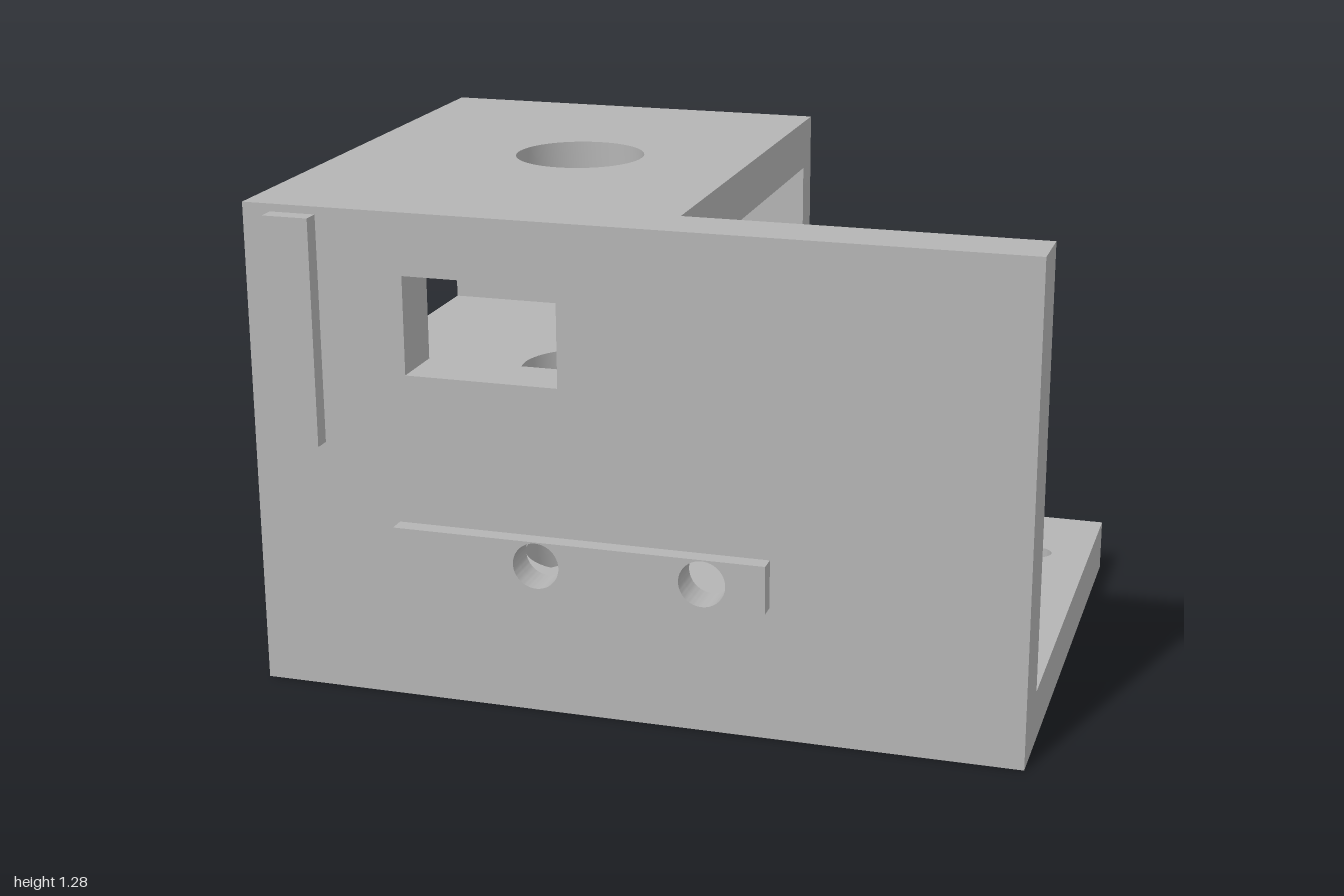
import * as THREE from 'three';
import { toCreasedNormals } from 'three/addons/utils/BufferGeometryUtils.js';

const metal = new THREE.MeshStandardMaterial({ color: 0xb4b4b4 });
metal.name = 'plain grey';

// ---- outline helpers ----
const polygon = (pts) => new THREE.Shape(pts.map(([x, y]) => new THREE.Vector2(x, y)));
const rect = (x0, x1, y0, y1) => polygon([[x0, y0], [x1, y0], [x1, y1], [x0, y1]]);

function circle(x, y, r) {
  return new THREE.Path().absarc(x, y, r, 0, Math.PI * 2, true);
}

// horizontal slot with round ends
function slot(x, y, halfLength, r) {
  const d = halfLength - r;
  const p = new THREE.Path();
  p.absarc(x + d, y, r, -Math.PI / 2, Math.PI / 2, false);
  p.absarc(x - d, y, r, Math.PI / 2, Math.PI * 1.5, false);
  p.closePath();
  return p;
}

function extrude(shape, holes, depth) {
  shape.holes.push(...holes);
  const g = new THREE.ExtrudeGeometry(shape, { depth, bevelEnabled: false, curveSegments: 32 });
  return toCreasedNormals(g, 0.6);
}

function addMesh(group, name, geometry) {
  const mesh = new THREE.Mesh(geometry, metal);
  mesh.name = name;
  group.add(mesh);
}

// plate facing z, outline in x and y
function upright(group, name, shape, holes, z0, z1) {
  addMesh(group, name, extrude(shape, holes, z1 - z0).translate(0, 0, z0));
}

// plate lying flat, outline in x and -z
function flat(group, name, shape, holes, y0, y1) {
  addMesh(group, name, extrude(shape, holes, y1 - y0).rotateX(-Math.PI / 2).translate(0, y0, 0));
}

export function createModel() {
  const model = new THREE.Group();
  model.name = 'mountingBracket';

  const edge = 0.09;              // left side of the box section
  const frontIn = 0.555, front = 0.71, backIn = -0.67, back = -0.755;
  const height = 1.28;
  const boltX = [-0.23, 0.2], boltY = 0.412;

  // front wall: counterbored bolt holes and a window
  const frontWall = new THREE.Group();
  frontWall.name = 'frontWall';
  model.add(frontWall);
  [['frontWallInner', 0.12, frontIn, 0.66], ['frontWallOuter', 0.06, 0.66, front]].forEach(([name, r, z0, z1]) => {
    const holes = boltX.map((x) => circle(x, boltY, r));
    holes.push(rect(-0.58, -0.18, 0.865, 1.12));
    upright(frontWall, name, rect(-1, 1, 0, height), holes, z0, z1);
  });

  // raised bars on the front
  upright(model, 'lowerBar', rect(-0.61, 0.36, 0.35, 0.475), boltX.map((x) => circle(x, boltY, 0.06)), front, 0.755);
  upright(model, 'sideBar', rect(-0.925, -0.805, 0.67, 1.26), [], front, 0.755);

  // back wall: one access hole and a second that nicks the edge
  const a = Math.acos((boltX[1] - edge) / 0.12);
  const backShape = new THREE.Shape();
  backShape.moveTo(-1, 0);
  backShape.lineTo(edge, 0);
  backShape.absarc(boltX[1], boltY, 0.12, Math.PI + a, Math.PI - a, true);
  backShape.lineTo(edge, height);
  backShape.lineTo(-1, height);
  backShape.closePath();
  upright(model, 'backWall', backShape, [circle(boltX[0], boltY, 0.12)], back, backIn);

  // floor, shelf and roof, each with a counterbored shaft hole
  const levels = [['floor', 0, 0.14], ['shelf', 0.54, 0.68], ['roof', 1.145, height]];
  levels.forEach(([name, y0, y1]) => {
    const level = new THREE.Group();
    level.name = name;
    model.add(level);
    const yMid = y0 + 0.03;
    [['Bottom', 0.105, y0, yMid], ['Top', 0.173, yMid, y1]].forEach(([part, r, lo, hi]) => {
      const holes = [circle(-0.38, 0.06, r)];
      let shape = rect(-1, edge, -frontIn, -backIn);
      if (name === 'floor') {
        // the floor reaches out to the left as a motor mount
        shape = polygon([[-1, -frontIn], [1, -frontIn], [1, 0.683], [edge, 0.683], [edge, -backIn], [-1, -backIn]]);
        holes.push(slot(0.485, 0.06, 0.286, 0.245));
        for (const sx of [-1, 1]) {
          for (const sz of [-1, 1]) holes.push(slot(0.485 + sx * 0.33, 0.062 + sz * 0.328, 0.08, 0.037));
        }
      }
      flat(level, name + part, shape, holes, lo, hi);
    });
  });

  return model;
}
